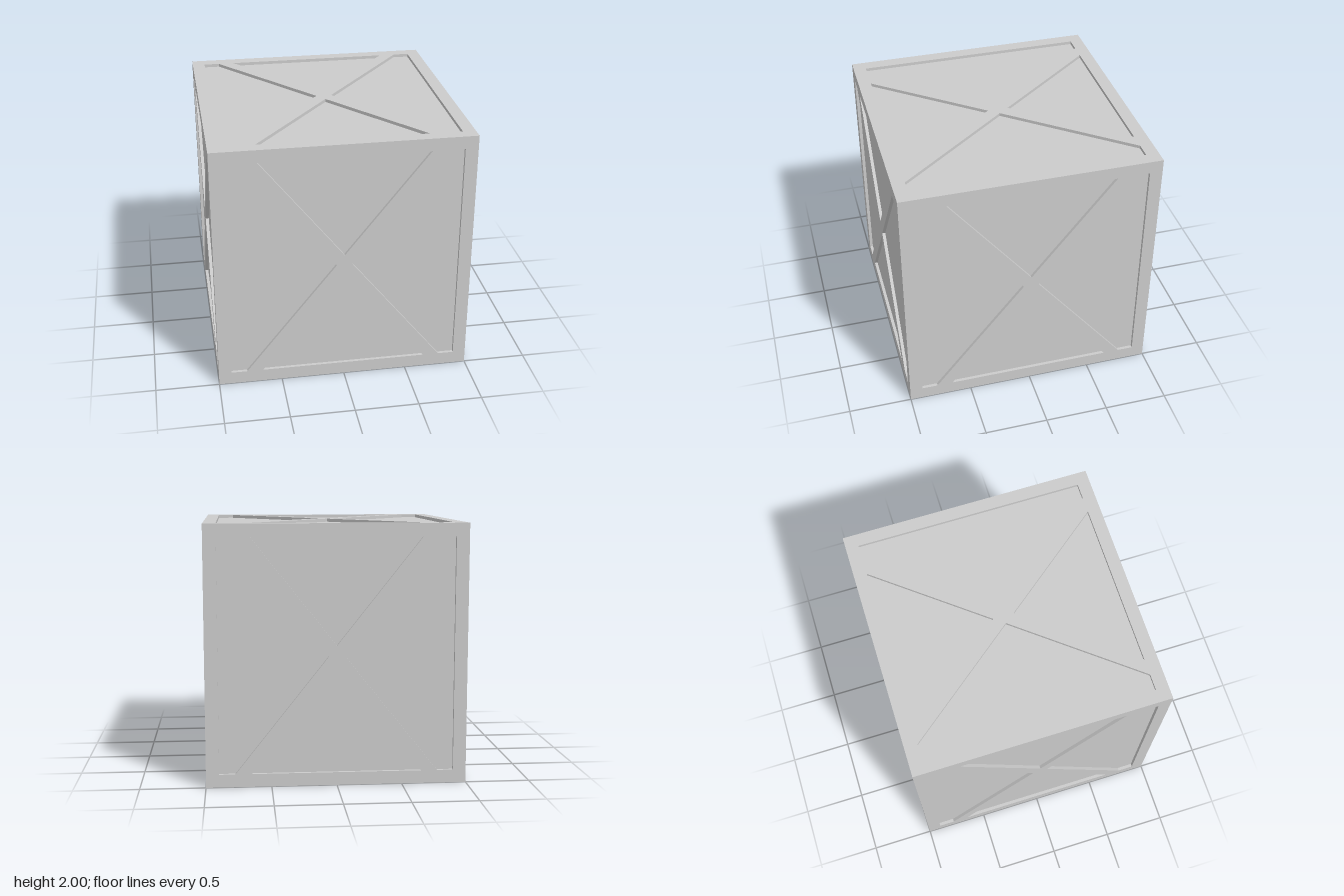
import * as THREE from 'three';
import { mergeGeometries } from 'three/addons/utils/BufferGeometryUtils.js';

const DEPTH = 0.025; // how far the panels sit below the frame

// Counter-clockwise outlines of the four panels between frame and cross braces
const halfTurn = (pts) => pts.map(([x, y]) => [-x, -y]);
const topPanel = [[0, 0.08], [0.65, 0.9], [-0.65, 0.9]];
const sidePanel = [[0.06, 0], [0.775, -0.9], [0.9, -0.9], [0.9, 0.9], [0.775, 0.9]];
const panels = [topPanel, halfTurn(topPanel), sidePanel, halfTurn(sidePanel)]
  .map((pts) => pts.map(([x, y]) => new THREE.Vector2(x, y)));

// Short walls from the frame surface down to a panel, facing into the recess
function recessWalls(pts) {
  const pos = [];
  pts.forEach((a, i) => {
    const b = pts[(i + 1) % pts.length];
    pos.push(a.x, a.y, -DEPTH, a.x, a.y, 0, b.x, b.y, 0);
    pos.push(a.x, a.y, -DEPTH, b.x, b.y, 0, b.x, b.y, -DEPTH);
  });
  const geo = new THREE.BufferGeometry();
  geo.setAttribute('position', new THREE.Float32BufferAttribute(pos, 3));
  geo.computeVertexNormals();
  return geo;
}

function frameGeometry() {
  const square = new THREE.Shape([[-1, -1], [1, -1], [1, 1], [-1, 1]]
    .map(([x, y]) => new THREE.Vector2(x, y)));
  square.holes = panels.map((pts) => new THREE.Path(pts));
  const front = new THREE.ShapeGeometry(square).toNonIndexed();
  front.deleteAttribute('uv');
  return mergeGeometries([front, ...panels.map(recessWalls)]);
}

export function createModel() {
  const model = new THREE.Group();
  model.name = 'crate';
  const material = new THREE.MeshStandardMaterial({ color: 0xcccccc });
  const frame = frameGeometry();
  const panelGeo = new THREE.ShapeGeometry(panels.map((pts) => new THREE.Shape(pts)));
  panelGeo.translate(0, 0, -DEPTH);

  // The same braced face on all six sides
  const sides = {
    front: [0, 0], left: [0, Math.PI / 2], back: [0, Math.PI], right: [0, -Math.PI / 2],
    top: [-Math.PI / 2, 0], bottom: [Math.PI / 2, 0],
  };
  for (const [name, [rx, ry]] of Object.entries(sides)) {
    const side = new THREE.Group();
    side.name = name + 'Side';
    const braces = new THREE.Mesh(frame, material);
    braces.name = name + 'FrameAndBraces';
    const recessed = new THREE.Mesh(panelGeo, material);
    recessed.name = name + 'Panels';
    side.add(braces, recessed);
    side.rotation.set(rx, ry, 0);
    side.position.set(0, 0, 1).applyEuler(side.rotation);
    side.position.y += 1;
    model.add(side);
  }
  return model;
}
